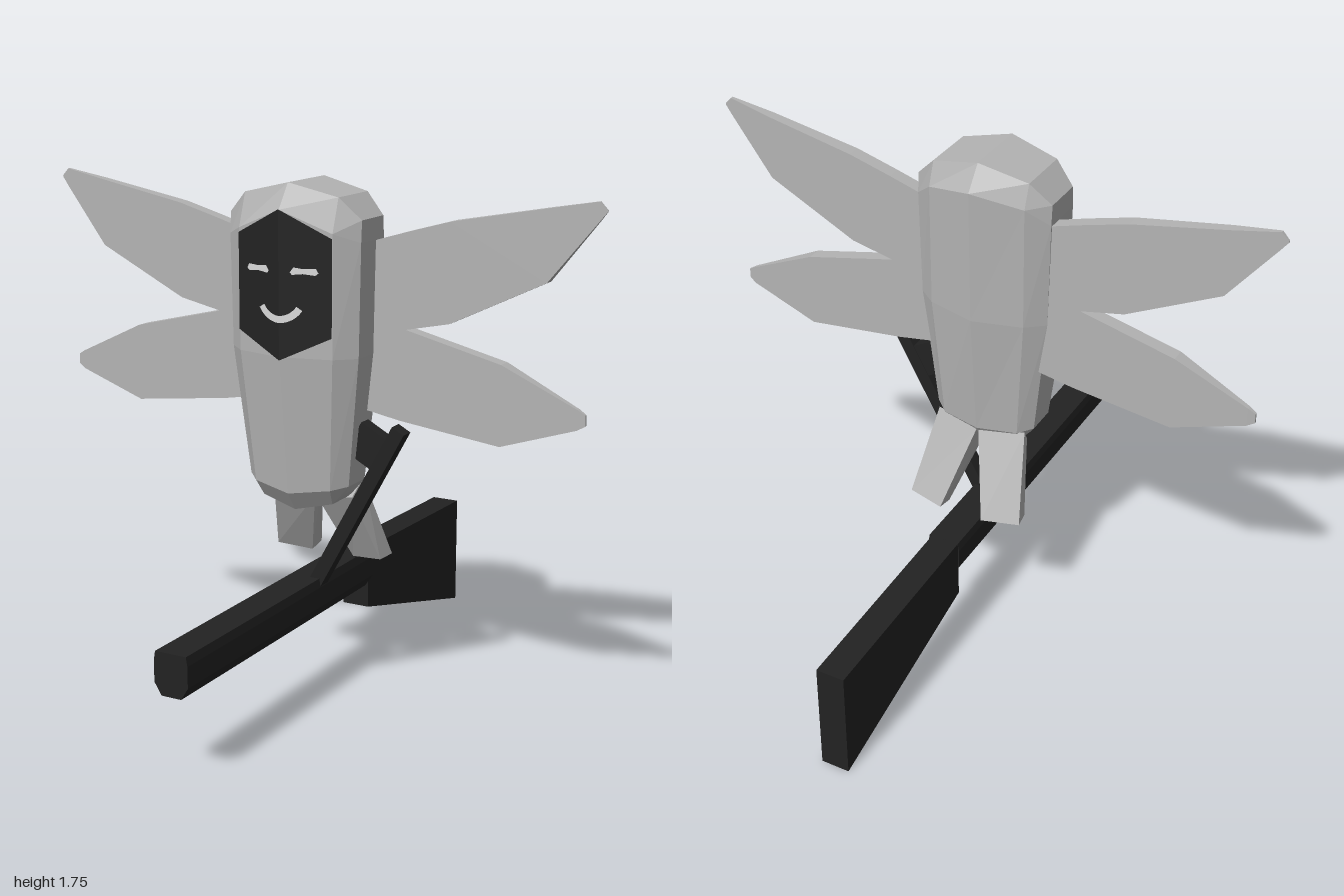
import * as THREE from 'three';

const mat = (name, color) => {
  const m = new THREE.MeshStandardMaterial({ color });
  m.name = name;
  return m;
};

// Joins rings of points (counterclockwise seen from the last ring) and closes the ends
function loft(rings, caps = [[0, 1, 2, 3]], mirror = false) {
  if (mirror) rings = rings.map(r => r.map(([x, y, z]) => [-x, y, z]).reverse());
  const pos = [];
  const quad = (a, b, c, d) => pos.push(...a, ...b, ...c, ...a, ...c, ...d);
  const n = rings[0].length;
  for (let k = 0; k < rings.length - 1; k++) {
    for (let i = 0; i < n; i++) {
      const j = (i + 1) % n;
      quad(rings[k][i], rings[k][j], rings[k + 1][j], rings[k + 1][i]);
    }
  }
  const last = rings[rings.length - 1];
  for (const c of caps) {
    quad(...c.map(i => last[i]));
    quad(...c.map(i => rings[0][i]).reverse());
  }
  const g = new THREE.BufferGeometry();
  g.setAttribute('position', new THREE.Float32BufferAttribute(pos, 3));
  g.computeVertexNormals();
  return g;
}

// Half of a symmetric body ring, completed on the other side
const bodyRing = half => [...half, ...half.slice(1, 5).reverse().map(([x, y, z]) => [-x, y, z])];

// Flat outline laid on the ridged front of the head
function facePlate(points, side, lift) {
  const shape = new THREE.Shape(points.map(([x, y]) => new THREE.Vector2(x * side, y)));
  const g = new THREE.ShapeGeometry(shape);
  const p = g.attributes.position;
  for (let i = 0; i < p.count; i++) p.setZ(i, 0.304 + lift - 0.235 * Math.abs(p.getX(i)));
  g.computeVertexNormals();
  return g;
}

const profile = pts => new THREE.Shape(pts.map(([x, y]) => new THREE.Vector2(x, y)));

export function createModel() {
  const model = new THREE.Group();
  const grey = mat('bodyGrey', 0xb4b4b4);
  const black = mat('black', 0x222222);
  const pale = mat('paleGrey', 0xdadada);
  const add = (name, geometry, material) => {
    const m = new THREE.Mesh(geometry, material);
    m.name = name;
    model.add(m);
    return m;
  };

  // Faceted body, from the bottom up: front, side and back points of each ring
  const body = [
    [[0, 0.67, 0.21], [0.13, 0.70, 0.19], [0.165, 0.735, 0.16], [0.165, 0.735, 0.09], [0.13, 0.70, 0.07], [0, 0.67, 0.05]],
    [[0, 0.735, 0.255], [0.14, 0.755, 0.225], [0.185, 0.765, 0.18], [0.185, 0.765, 0.07], [0.14, 0.755, 0.03], [0, 0.75, 0]],
    [[0, 1.2, 0.304], [0.17, 1.2, 0.264], [0.233, 1.2, 0.205], [0.233, 1.2, 0.055], [0.17, 1.2, 0.005], [0, 1.2, -0.04]],
    [[0, 1.67, 0.304], [0.17, 1.6, 0.264], [0.24, 1.57, 0.205], [0.24, 1.57, 0.05], [0.17, 1.63, 0], [0, 1.67, -0.052]],
    [[0, 1.75, 0.245], [0.17, 1.71, 0.225], [0.24, 1.64, 0.2], [0.24, 1.64, 0.055], [0.17, 1.71, 0.03], [0, 1.75, 0.01]],
  ].map(bodyRing);
  add('body', loft(body, [[0, 1, 4, 5], [1, 2, 3, 4], [5, 6, 9, 0], [6, 7, 8, 9]]), grey);

  // Smile: a crescent of even width, right half
  const smile = [];
  for (let i = 0; i <= 6; i++) {
    const a = (i / 6) * 1.0;
    smile.push([0.093 * Math.sin(a), 1.405 - 0.093 * Math.cos(a)]);
  }
  for (let i = 6; i >= 0; i--) {
    const a = (i / 6) * 1.0;
    smile.push([0.07 * Math.sin(a), 1.405 - 0.07 * Math.cos(a)]);
  }
  const eye = [[0.038, 1.476], [0.045, 1.468], [0.08, 1.472], [0.12, 1.468], [0.13, 1.476], [0.122, 1.49], [0.08, 1.488], [0.05, 1.492]];

  // Wing sections: x, top edge, bottom edge, half thickness
  const upperWing = [[0.15, 1.54, 1.24, 0.025], [0.35, 1.60, 1.288, 0.025], [0.5, 1.642, 1.32, 0.025],
    [0.82, 1.702, 1.475, 0.018], [0.975, 1.73, 1.668, 0.006], [1.0, 1.705, 1.7, 0.003]];
  const lowerWing = [[0.15, 1.335, 1.02, 0.025], [0.33, 1.292, 0.988, 0.025], [0.68, 1.208, 0.945, 0.025],
    [0.93, 1.09, 1.025, 0.008], [0.955, 1.075, 1.04, 0.004]];
  const wing = s => s.map(([x, t, b, h]) => [[x, t, 0.08 + h], [x, b, 0.08 + h], [x, b, 0.08 - h], [x, t, 0.08 - h]]);

  // Legs slant down and backwards
  const leg = [
    [[0.08, 0.445, -0.05], [0.2, 0.46, -0.02], [0.212, 0.465, -0.085], [0.08, 0.458, -0.115]],
    [[0.003, 0.68, 0.07], [0.15, 0.70, 0.09], [0.165, 0.76, 0.04], [0.003, 0.74, 0.01]],
  ];

  for (const [side, label] of [[1, 'left'], [-1, 'right']]) {
    const mirror = side < 0;
    add(label + 'Mask', facePlate([[0, 1.19], [0.17, 1.27], [0.17, 1.585], [0, 1.672]], side, 0.004), black);
    add(label + 'Eye', facePlate(eye, side, 0.008), pale);
    add(label + 'Smile', facePlate(smile, side, 0.008), pale);
    add(label + 'UpperWing', loft(wing(upperWing), undefined, mirror), grey);
    add(label + 'LowerWing', loft(wing(lowerWing), undefined, mirror), grey);
    add(label + 'Leg', loft(leg, undefined, mirror), grey);
  }

  // Long bar with bevelled underside
  const barShape = profile([[-0.05, 0.42], [-0.055, 0.39], [-0.055, 0.32], [-0.03, 0.28],
    [0.04, 0.28], [0.065, 0.32], [0.065, 0.39], [0.06, 0.42]]);
  const bar = add('barrel', new THREE.ExtrudeGeometry(barShape, { depth: 1.19, bevelEnabled: false }), black);
  bar.position.z = -0.225;

  // Tapered stock, outlined in side view and extruded across x
  const stockShape = profile([[0.22, 0.42], [0.22, 0.2], [0.965, 0], [0.965, 0.4]]);
  const stock = add('stock', new THREE.ExtrudeGeometry(stockShape, { depth: 0.1, bevelEnabled: false }), black);
  stock.rotation.y = Math.PI / 2;
  stock.position.x = -0.05;

  // Slanted post with a short block joining it to the body
  const post = add('post', new THREE.BoxGeometry(0.048, 0.66, 0.05), black);
  post.position.set(0.19, 0.675, 0.128);
  post.rotation.z = -0.498;
  const block = add('postBlock', new THREE.BoxGeometry(0.11, 0.12, 0.048), black);
  block.position.set(0.235, 0.9, 0.128);
  block.rotation.z = -0.498;

  return model;
}
